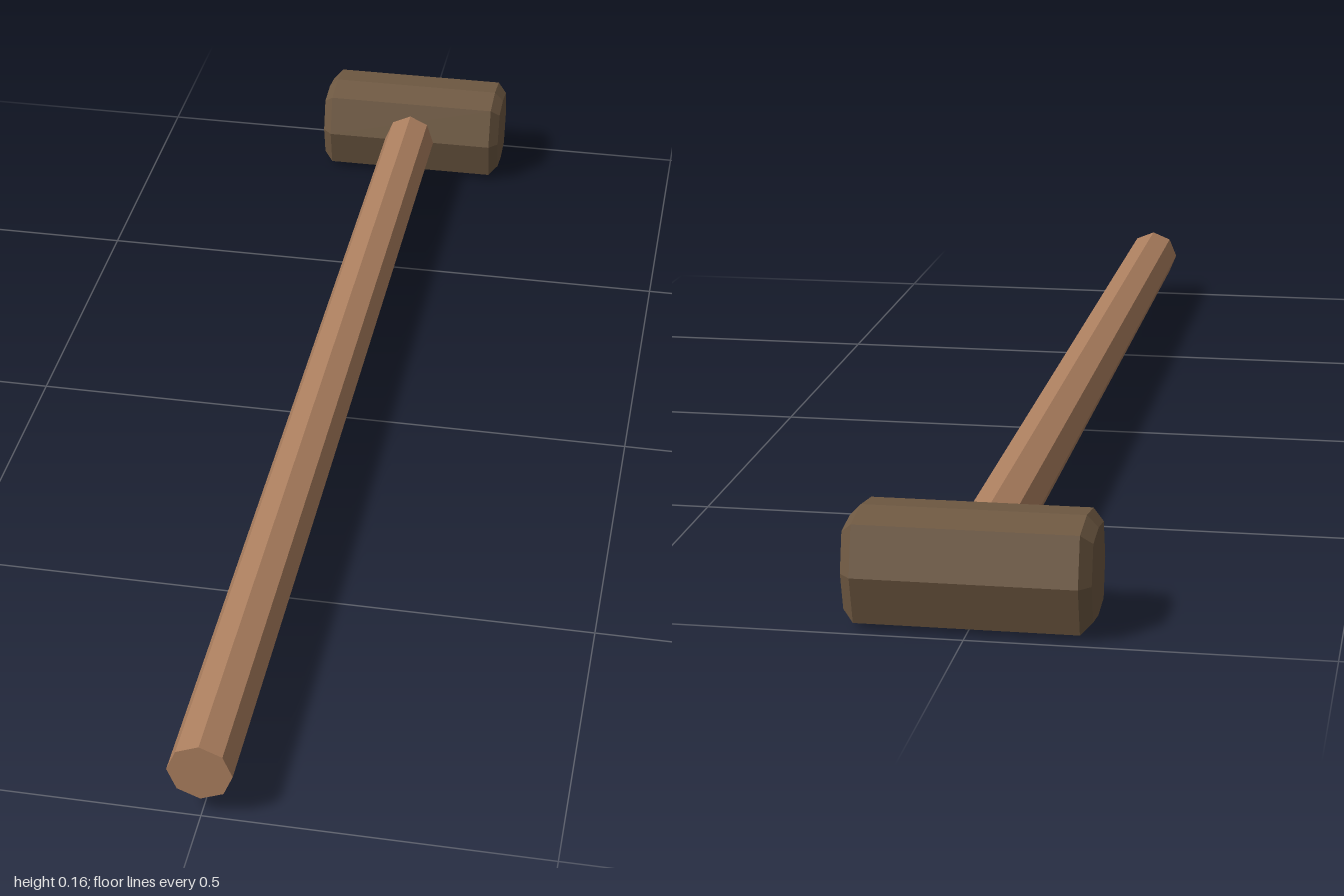
import * as THREE from 'three';
import { ConvexGeometry } from 'three/addons/geometries/ConvexGeometry.js';

const CENTER_Y = 0.079;
const HEAD_Z = -0.921;

export function createModel() {
  const wood = new THREE.MeshStandardMaterial({ color: 0xac7f5f, flatShading: true });
  wood.name = 'handle wood';
  const darkWood = new THREE.MeshStandardMaterial({ color: 0x705a43, flatShading: true });
  darkWood.name = 'dark head';

  const group = new THREE.Group();
  group.name = 'mallet';

  // Handle: eight-sided shaft running from the front into the head
  const length = 1 - HEAD_Z;
  const handleGeometry = new THREE.CylinderGeometry(0.047, 0.047, length, 8);
  handleGeometry.rotateX(Math.PI / 2);
  const handle = new THREE.Mesh(handleGeometry, wood);
  handle.name = 'handle';
  handle.position.set(0, CENTER_Y, 1 - length / 2);
  group.add(handle);

  // Head: bulged square section (z, y), with narrowed bevelled ends
  const section = [
    [0, 0.079], [0.061, 0.07], [0.079, 0], [0.061, -0.07],
    [0, -0.079], [-0.061, -0.07], [-0.079, 0], [-0.061, 0.07],
  ];
  const points = [];
  for (const [x, scale] of [[-0.171, 0.79], [-0.155, 1], [0.155, 1], [0.171, 0.79]]) {
    for (const [z, y] of section) points.push(new THREE.Vector3(x, y * scale, z * scale));
  }
  const head = new THREE.Mesh(new ConvexGeometry(points), darkWood);
  head.name = 'head';
  head.position.set(0, CENTER_Y, HEAD_Z);
  group.add(head);

  return group;
}
